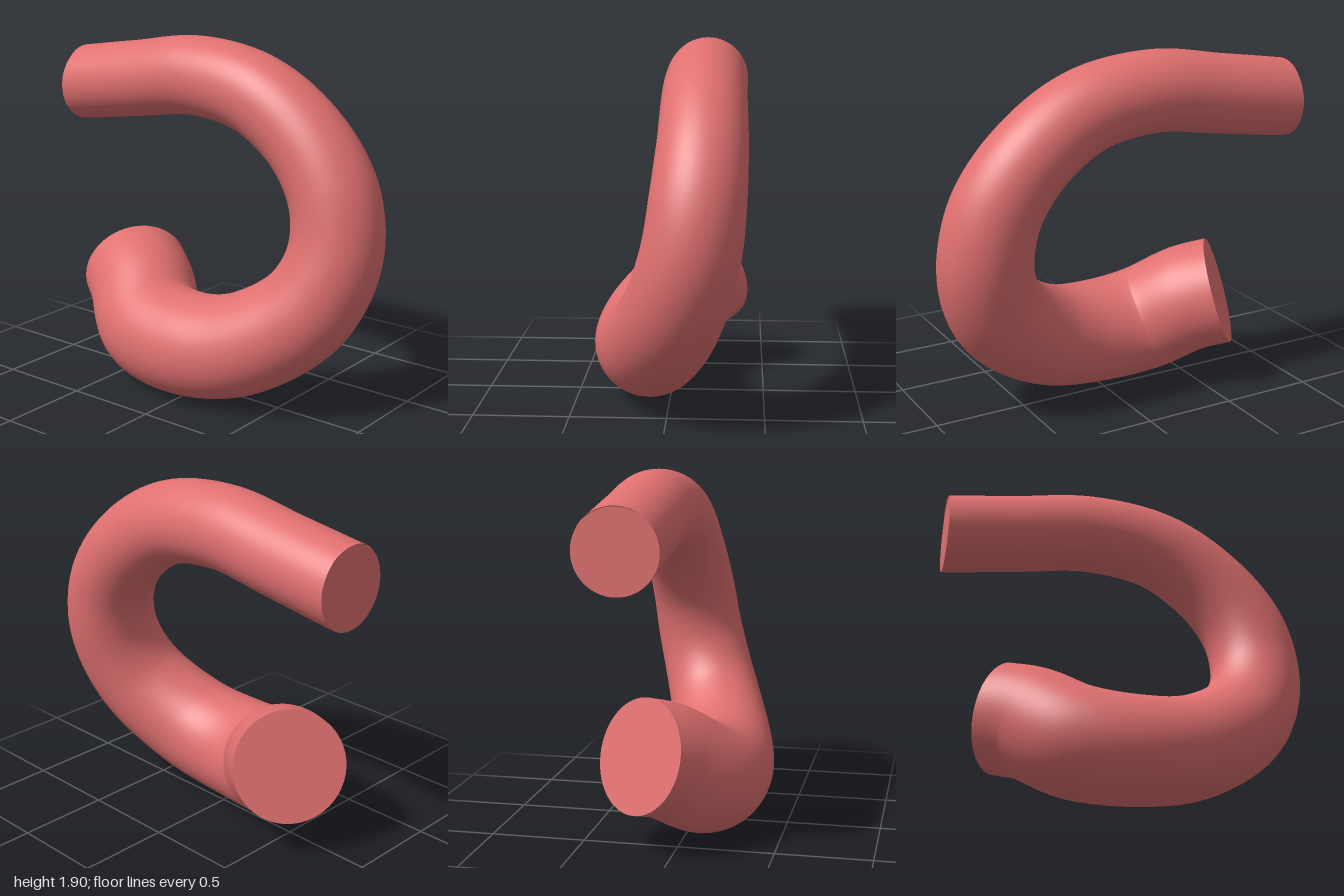
import * as THREE from 'three';

// Centre line and radius, from the thin upper end to the thick lower end: x, y, z, r
const STATIONS = [
  [0.18, 1.58, -1.0, 0.212],
  [0.185, 1.64, -0.6, 0.212],
  [0.185, 1.695, -0.18, 0.215],
  [0.18, 1.63, 0.22, 0.218],
  [0.18, 1.425, 0.53, 0.225],
  [0.165, 1.18, 0.705, 0.237],
  [0.135, 0.93, 0.755, 0.245],
  [0.08, 0.715, 0.715, 0.252],
  [0.01, 0.53, 0.595, 0.262],
  [-0.09, 0.345, 0.3, 0.275],
  [-0.13, 0.293, 0.0, 0.285],
  [-0.09, 0.325, -0.29, 0.295],
  [0.068, 0.465, -0.5, 0.297],
  [0.165, 0.515, -0.635, 0.297],
];
const RINGS = 160;
const SIDES = 56;

const path = new THREE.CatmullRomCurve3(STATIONS.map(([x, y, z]) => new THREE.Vector3(x, y, z)));
path.arcLengthDivisions = 600;

// Radius at a fraction of the path's length
function radiusAt(u) {
  const s = path.getUtoTmapping(u) * (STATIONS.length - 1);
  const i = Math.min(Math.floor(s), STATIONS.length - 2);
  return THREE.MathUtils.lerp(STATIONS[i][3], STATIONS[i + 1][3], s - i);
}

// Unit tube whose rings are scaled to the local radius
function taperedTube() {
  const geo = new THREE.TubeGeometry(path, RINGS, 1, SIDES, false);
  const pos = geo.attributes.position;
  const v = new THREE.Vector3();
  for (let i = 0; i <= RINGS; i++) {
    const centre = path.getPointAt(i / RINGS);
    const r = radiusAt(i / RINGS);
    for (let j = 0; j <= SIDES; j++) {
      const k = i * (SIDES + 1) + j;
      v.fromBufferAttribute(pos, k).sub(centre).multiplyScalar(r).add(centre);
      if (i === 0) v.z = -1; // the upper end is cut square to z
      pos.setXYZ(k, v.x, v.y, v.z);
    }
  }
  return geo;
}

// Flat disc closing one ring of the tube
function endCap(tube, ring) {
  const pos = tube.attributes.position;
  const first = ring * (SIDES + 1);
  const centre = path.getPointAt(ring / RINGS);
  const points = [centre];
  for (let j = 0; j <= SIDES; j++) points.push(new THREE.Vector3().fromBufferAttribute(pos, first + j));
  const index = [];
  for (let j = 1; j <= SIDES; j++) index.push(0, ...(ring === 0 ? [j, j + 1] : [j + 1, j]));
  const geo = new THREE.BufferGeometry().setFromPoints(points);
  geo.setIndex(index);
  geo.computeVertexNormals();
  return geo;
}

export function createModel() {
  const group = new THREE.Group();
  group.name = 'curvedPipe';
  const material = new THREE.MeshStandardMaterial({ color: 0xe07070 });
  const add = (name, geo) => {
    const mesh = new THREE.Mesh(geo, material);
    mesh.name = name;
    group.add(mesh);
  };
  const tube = taperedTube();
  add('pipeBody', tube);
  add('upperEndCap', endCap(tube, 0));
  add('lowerEndCap', endCap(tube, RINGS));
  return group;
}
